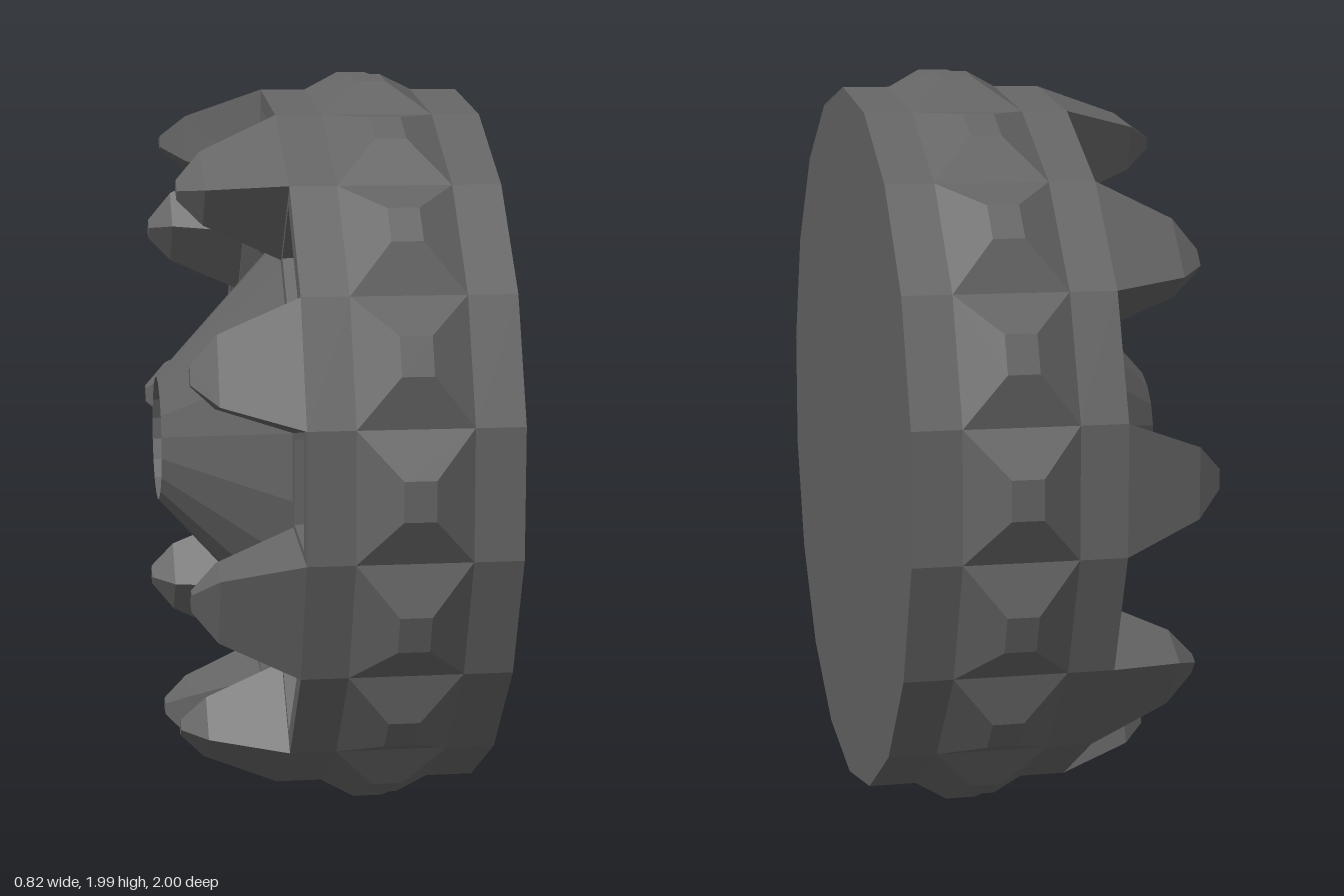
import * as THREE from 'three';

const SIDES = 18;
const STEP = (Math.PI * 2) / SIDES;
const RADIUS = 0.95;
const APOTHEM = RADIUS * Math.cos(STEP / 2);
const HALF_FACET = RADIUS * Math.sin(STEP / 2);
const RIM_X = -0.125;
const POCKET_X = 0.08;

// Skin a stack of four-cornered rings and close the last one
function loft(rings) {
  const index = [];
  for (let i = 0; i < rings.length - 1; i++) {
    for (let j = 0; j < 4; j++) {
      const k = (j + 1) % 4;
      const a = i * 4 + j, b = i * 4 + k, c = b + 4, d = a + 4;
      index.push(a, b, c, a, c, d);
    }
  }
  const e = (rings.length - 1) * 4;
  index.push(e, e + 1, e + 2, e, e + 2, e + 3);
  const geometry = new THREE.BufferGeometry();
  geometry.setAttribute('position', new THREE.Float32BufferAttribute(rings.flat(2), 3));
  geometry.setIndex(index);
  geometry.computeVertexNormals();
  return geometry;
}

// Rectangle on a facet at a given radius
const studRing = (r, x0, x1, w) => [[x0, r, w], [x1, r, w], [x1, r, -w], [x0, r, -w]];

// Cross-section of a tooth at a given depth
const toothRing = (x, ri, wi, ro, wo) => [[x, ri, -wi], [x, ri, wi], [x, ro, wo], [x, ro, -wo]];

export function createModel() {
  const model = new THREE.Group();
  const material = new THREE.MeshStandardMaterial({ color: 0x646464, flatShading: true });

  const wheel = new THREE.Group();
  wheel.name = 'wheel';
  wheel.position.y = 0.994;
  model.add(wheel);

  // Drum: flat closed face, conical hub with a bore, sloped dish, rim with a channel
  const profile = [
    [0, -0.1], [0.17, -0.1], [0.17, -0.415],
    [0.57, -0.05], [0.68, RIM_X],
    [0.715, RIM_X], [0.715, POCKET_X], [0.9, POCKET_X], [0.9, RIM_X],
    [RADIUS, RIM_X], [RADIUS, 0], [RADIUS, 0.285], [RADIUS, 0.41], [0, 0.41],
  ].map(([r, x]) => new THREE.Vector2(r, x));
  const drum = new THREE.Mesh(new THREE.LatheGeometry(profile, SIDES, STEP / 2), material);
  drum.name = 'drum';
  drum.rotation.z = -Math.PI / 2;
  wheel.add(drum);

  const studGeometry = loft([
    studRing(APOTHEM, -0.005, 0.285, HALF_FACET),
    studRing(1, 0.1, 0.18, 0.05),
  ]);

  // The tooth root fills the channel, leaving a pocket between neighbours
  const toothGeometry = loft([
    toothRing(POCKET_X, 0.7, 0.14, 0.91, 0.178),
    toothRing(RIM_X, 0.7, 0.14, 0.91, 0.178),
    toothRing(RIM_X, 0.68, 0.12, APOTHEM, HALF_FACET),
    toothRing(-0.325, 0.755, 0.07, 0.875, 0.09),
    toothRing(-0.39, 0.8, 0.02, 0.83, 0.025),
  ]);

  // One stud on every facet, one tooth on every second facet
  for (let i = 0; i < SIDES; i++) {
    const angle = (i + 0.5) * STEP;
    const stud = new THREE.Mesh(studGeometry, material);
    stud.name = 'stud';
    stud.rotation.x = angle;
    wheel.add(stud);
    if (i % 2 === 1) {
      const tooth = new THREE.Mesh(toothGeometry, material);
      tooth.name = 'tooth';
      tooth.rotation.x = angle;
      wheel.add(tooth);
    }
  }
  return model;
}
